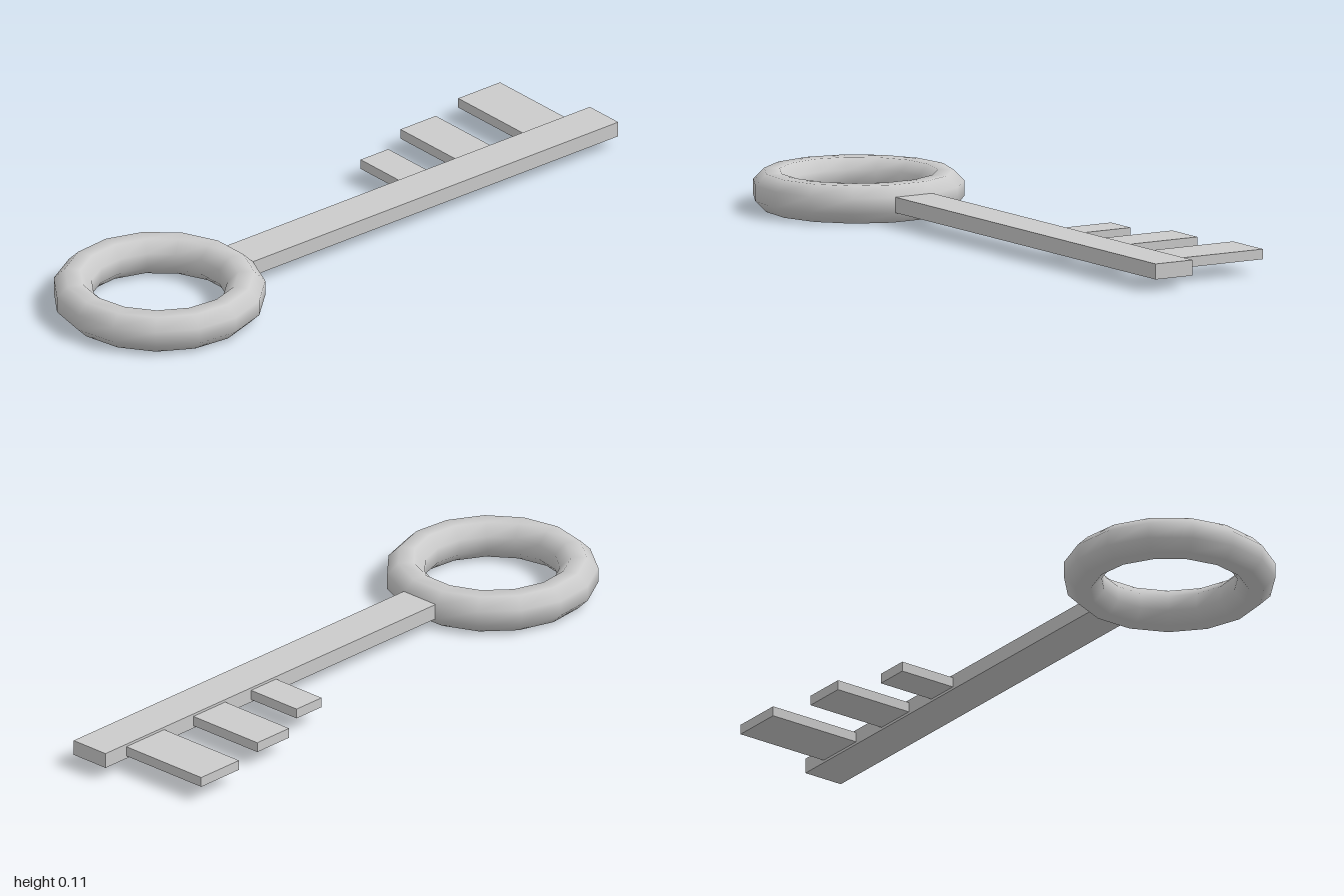
import * as THREE from 'three';

const material = new THREE.MeshStandardMaterial({ color: 0xcccccc });
const MID_Y = 0.056;

// Box given by its extents in x and z, centred on the key's mid height
function slab(name, x0, x1, z0, z1, height) {
  const mesh = new THREE.Mesh(new THREE.BoxGeometry(x1 - x0, height, z1 - z0), material);
  mesh.name = name;
  mesh.position.set((x0 + x1) / 2, MID_Y + 0.0015, (z0 + z1) / 2);
  return mesh;
}

// Ring with an octagonal section turned so that flats face up, down, in and out
function bowGeometry(radius, tube, sides, segments) {
  const geo = new THREE.TorusGeometry(radius, tube, sides, segments);
  const { position, normal } = geo.attributes;
  for (let j = 0, k = 0; j <= sides; j++) {
    const v = ((j + 0.5) / sides) * Math.PI * 2;
    for (let i = 0; i <= segments; i++, k++) {
      const u = (i / segments) * Math.PI * 2 + Math.PI;
      const r = radius + tube * Math.cos(v);
      position.setXYZ(k, r * Math.cos(u), r * Math.sin(u), tube * Math.sin(v));
      normal.setXYZ(k, Math.cos(v) * Math.cos(u), Math.cos(v) * Math.sin(u), Math.sin(v));
    }
  }
  return geo.rotateX(Math.PI / 2);
}

export function createModel() {
  const key = new THREE.Group();
  key.name = 'key';

  // Ring handle
  const bow = new THREE.Mesh(bowGeometry(0.254, 0.0602, 8, 15), material);
  bow.name = 'bow';
  bow.position.set(-0.691, MID_Y, 0.0275);
  key.add(bow);

  // Straight shaft, its end set into the ring
  key.add(slab('shaft', -0.42, 1, -0.034, 0.094, 0.046));

  // Teeth growing towards the tip: x start, x end, reach in -z
  const teeth = [
    [0.282, 0.387, -0.217],
    [0.496, 0.63, -0.291],
    [0.753, 0.912, -0.335],
  ];
  teeth.forEach(([x0, x1, reach], i) => {
    key.add(slab('tooth' + (i + 1), x0, x1, reach, -0.03, 0.03));
  });

  return key;
}
